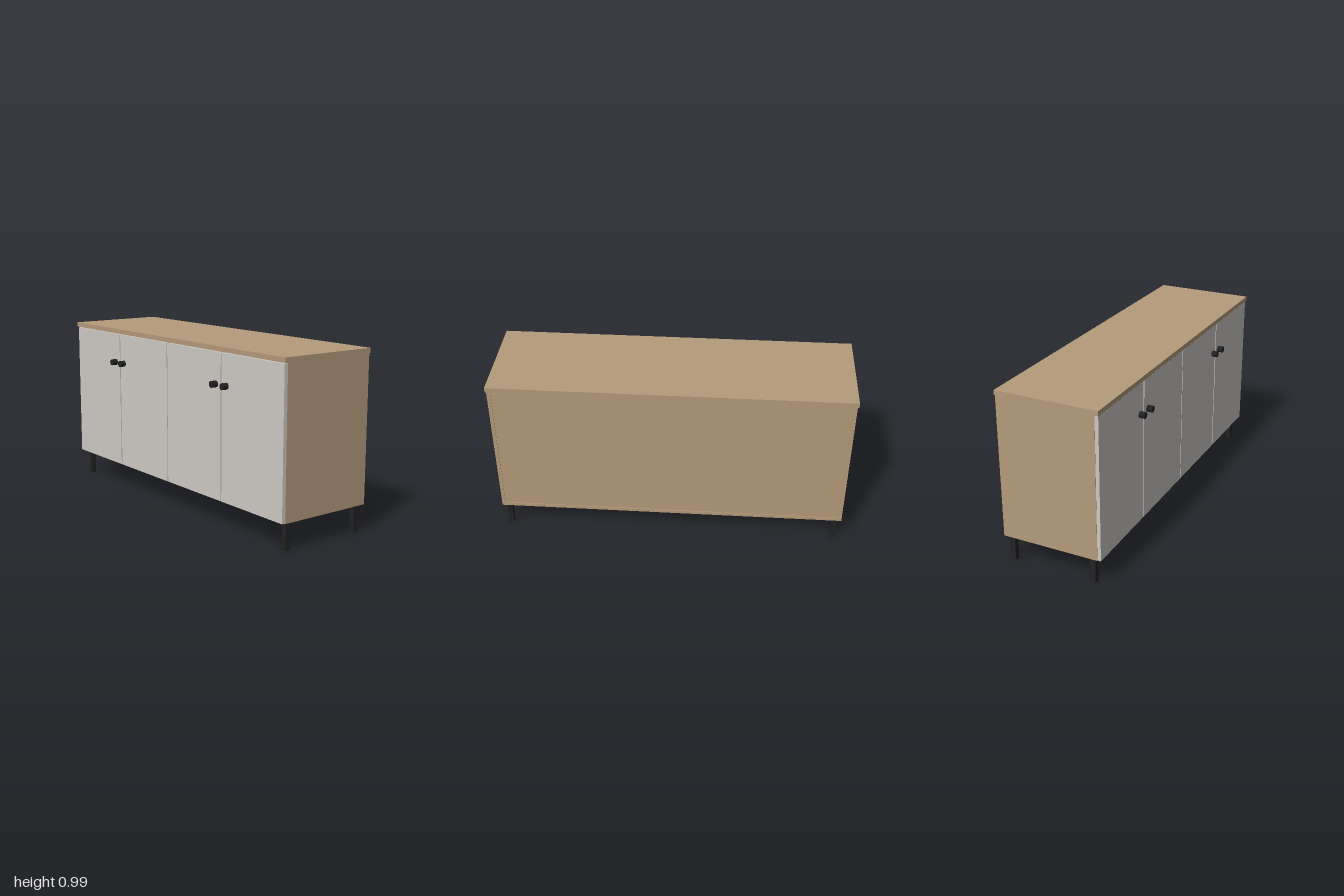
import * as THREE from 'three';

const wood = new THREE.MeshStandardMaterial({ color: 0xb59b7b });
const paint = new THREE.MeshStandardMaterial({ color: 0xcfcbc6 });
const black = new THREE.MeshStandardMaterial({ color: 0x222222 });

// Box given by its min and max along each axis
function box(name, material, [x0, x1], [y0, y1], [z0, z1]) {
  const mesh = new THREE.Mesh(new THREE.BoxGeometry(x1 - x0, y1 - y0, z1 - z0), material);
  mesh.name = name;
  mesh.position.set((x0 + x1) / 2, (y0 + y1) / 2, (z0 + z1) / 2);
  return mesh;
}

export function createModel() {
  const group = new THREE.Group();
  group.name = 'sideboard';

  const W = 0.992, T = 0.02;            // carcass half width, board thickness
  const bottom = 0.153, top = 0.965;    // carcass height range
  const back = -0.305, front = 0.255;   // carcass depth range
  const inner = W - T;

  // Worktop
  group.add(box('worktop', wood, [-1, 1], [top, 0.992], [back, 0.28]));

  // Carcass boards
  const depth = [back, front];
  group.add(box('bottomPanel', wood, [-inner, inner], [bottom, bottom + T], depth));
  group.add(box('topPanel', wood, [-inner, inner], [top - T, top], depth));
  group.add(box('backPanel', wood, [-inner, inner], [bottom + T, top - T], [back + 0.004, back + 0.012]));
  group.add(box('centreDivider', wood, [-T / 2, T / 2], [bottom + T, top - T], [back + 0.012, front]));

  for (const s of [-1, 1]) {
    const side = s < 0 ? 'right' : 'left';
    const span = (a, b) => (s < 0 ? [-b, -a] : [a, b]);

    group.add(box(side + 'SidePanel', wood, span(inner, W), [bottom, top], depth));

    // Pair of doors meeting halfway along each compartment
    group.add(box(side + 'InnerDoor', paint, span(0.003, 0.492), [0.155, 0.96], [front, 0.275]));
    group.add(box(side + 'OuterDoor', paint, span(0.5, 0.99), [0.155, 0.96], [front, 0.275]));

    // Round knobs
    for (const x of [0.451, 0.541]) {
      const knob = new THREE.Mesh(new THREE.CylinderGeometry(0.018, 0.018, 0.033, 24), black);
      knob.name = side + 'Knob';
      knob.rotation.x = Math.PI / 2;
      knob.position.set(s * x, 0.789, 0.2915);
      group.add(knob);
    }

    // Square legs
    for (const [name, z] of [['FrontLeg', 0.216], ['BackLeg', -0.268]]) {
      group.add(box(side + name, black, span(0.941, 0.971), [0, bottom], [z - 0.015, z + 0.015]));
    }
  }
  return group;
}
